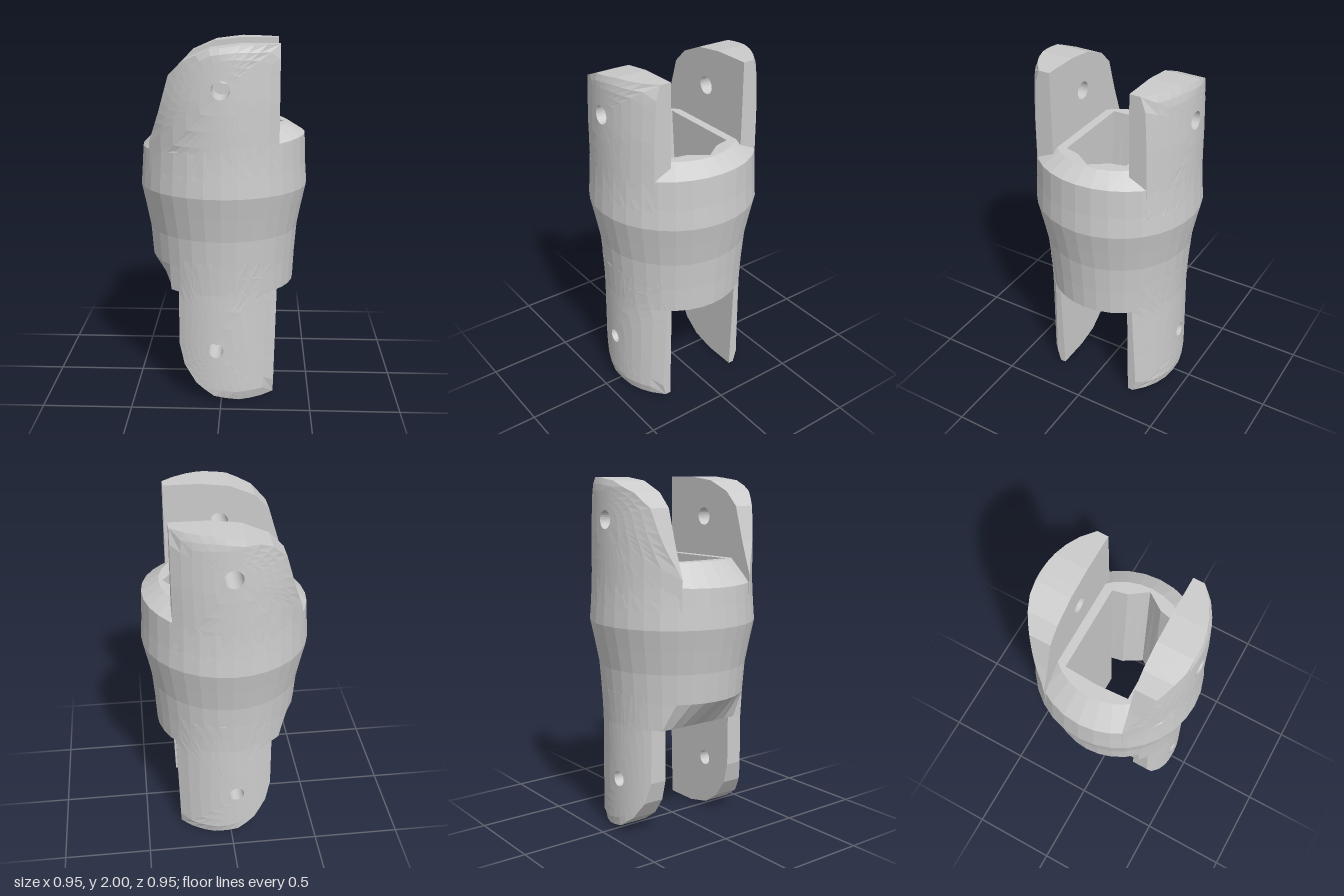
import * as THREE from 'three';

// Outer radius of the whole part by height: [y, radius]
const RADII = [[0, 0.395], [0.04, 0.41], [0.63, 0.405], [0.78, 0.412], [0.95, 0.425], [1.08, 0.45],
  [1.2, 0.475], [1.4, 0.46], [1.7, 0.458], [1.95, 0.448], [2, 0.43]];

// Piecewise linear lookup in a list of [key, ...values]
function lookup(table, key) {
  let k = 1;
  while (k < table.length - 1 && key > table[k][0]) k++;
  const a = table[k - 1], b = table[k];
  const t = (key - a[0]) / (b[0] - a[0]);
  return a.slice(1).map((v, n) => v + (b[n + 1] - v) * t);
}
const radiusAt = (y) => lookup(RADII, y)[0];

// Closed skin over a ring of closed cross-sections
function skin(rows) {
  const n = rows.length, m = rows[0].length, index = [];
  for (let i = 0; i < n; i++) {
    for (let j = 0; j < m; j++) {
      const i2 = (i + 1) % n, j2 = (j + 1) % m;
      const a = i * m + j, b = i * m + j2, c = i2 * m + j, d = i2 * m + j2;
      index.push(a, b, c, b, d, c);
    }
  }
  const geometry = new THREE.BufferGeometry();
  geometry.setAttribute('position', new THREE.Float32BufferAttribute(rows.flat(2), 3));
  geometry.setIndex(index);
  geometry.computeVertexNormals();
  return geometry;
}

// Half outlines of the central opening: [step around, x, z]
const OPENING_TOP = [[0, 0.34, 0], [2, 0.27, 0.1], [3, 0.25, 0.185], [13, -0.25, 0.185], [16, -0.26, 0]];
const OPENING_BOTTOM = [[0, 0.3, 0], [2, 0.235, 0.11], [3, 0.22, 0.185], [13, -0.18, 0.185], [16, -0.2, 0]];

// Bulging collar with a through opening, a bevelled rim and a bevel low on one side
function collarGeometry() {
  const rows = [];
  for (let i = 0; i < 32; i++) {
    const angle = (i / 32) * Math.PI * 2, c = Math.cos(angle), s = Math.sin(angle);
    const half = Math.min(i, 32 - i), side = i > 16 ? -1 : 1;
    const at = (r, y) => [c * r, y, s * r];
    const rimY = 1.455 + 0.035 * c;
    const low = at(radiusAt(0.63), 0.63);
    low[0] = Math.max(low[0], -0.29);
    const row = [low];
    for (const y of [0.78, 0.95, 1.08, 1.2, 1.32, rimY]) row.push(at(radiusAt(y), y));
    row.push(at(0.35 + 0.012 * c, 1.55));
    const top = lookup(OPENING_TOP, half), bottom = lookup(OPENING_BOTTOM, half);
    row.push([top[0], 1.55, top[1] * side], [bottom[0], 0.63, bottom[1] * side]);
    rows.push(row);
  }
  return skin(rows);
}

// Flat-backed prong with a round outer face and a pin hole; side is +1 front, -1 back
function prongGeometry(corners, [hx, hy, hr], inner, side) {
  const outline = [];
  corners.forEach(([x, y], k) => {
    const [x2, y2] = corners[(k + 1) % corners.length];
    const steps = Math.ceil(Math.hypot(x2 - x, y2 - y) / 0.08);
    for (let s = 0; s < steps; s++) outline.push([x + ((x2 - x) * s) / steps, y + ((y2 - y) * s) / steps]);
  });
  const outerZ = (x, y) => {
    const r = radiusAt(y);
    return Math.max(Math.sqrt(Math.max(r * r - x * x, 0)), inner + 0.004);
  };
  const rows = outline.map(([x, y]) => {
    const angle = Math.atan2(y - hy, x - hx);
    const px = hx + hr * Math.cos(angle), py = hy + hr * Math.sin(angle);
    const row = [[px, py, inner * side]];
    for (let k = 0; k <= 5; k++) {
      const qx = px + ((x - px) * k) / 5, qy = py + ((y - py) * k) / 5;
      row.push([qx, qy, outerZ(qx, qy) * side]);
    }
    row.push([x, y, inner * side]);
    return row;
  });
  if (side < 0) rows.reverse();
  return skin(rows);
}

const UPPER = [[0.31, 1.3], [0.31, 2], [0.1, 2], [-0.06, 1.98], [-0.2, 1.92], [-0.28, 1.84],
  [-0.34, 1.64], [-0.4, 1.47], [-0.4, 1.3]];
const LOWER = [[-0.21, 0.82], [-0.24, 0.63], [-0.24, 0.32], [-0.21, 0.2], [-0.14, 0.1], [-0.04, 0.03],
  [0.1, 0], [0.295, 0], [0.31, 0.63], [0.28, 0.82]];

export function createModel() {
  const group = new THREE.Group();
  group.name = 'hingeLink';
  const material = new THREE.MeshStandardMaterial({ color: 0xcccccc, flatShading: true });
  const add = (name, geometry) => {
    const mesh = new THREE.Mesh(geometry, material);
    mesh.name = name;
    group.add(mesh);
  };

  add('collar', collarGeometry());
  for (const [place, side] of [['Front', 1], ['Back', -1]]) {
    add('upperProng' + place, prongGeometry(UPPER, [0, 1.775, 0.05], 0.235, side));
    add('lowerProng' + place, prongGeometry(LOWER, [-0.03, 0.31, 0.043], 0.23, side));
  }
  return group;
}
